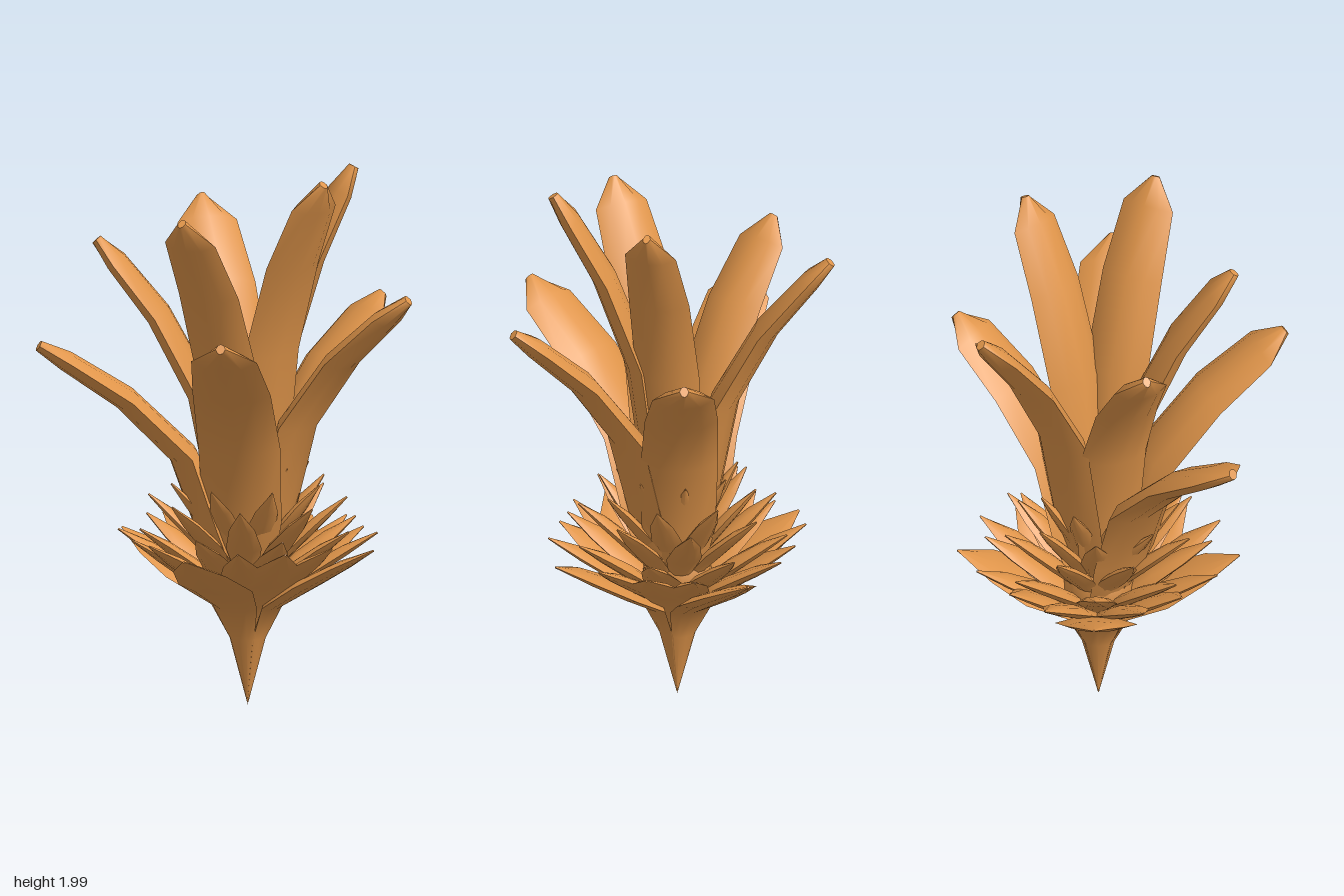
import * as THREE from 'three';

const material = new THREE.MeshStandardMaterial({ color: 0xe0954a, side: THREE.DoubleSide });
const AXIS_X = 0.1, AXIS_Z = -0.035;

// Leaf profiles: [share of reach, share of rise, share of width, share of thickness]
const LONG = [
  [0, 0, 0.1, 0.2], [0.05, 0.12, 0.55, 0.6], [0.19, 0.36, 0.95, 0.9], [0.31, 0.61, 1, 1],
  [0.59, 0.81, 0.95, 0.9], [0.87, 0.945, 0.8, 0.75], [1, 1, 0.12, 0.4],
];
const SHORT = [
  [0, 0, 0.02, 0.1], [0.09, 0.4, 0.33, 0.7], [0.2, 0.61, 0.6, 0.9],
  [0.5, 0.77, 1, 1], [0.75, 0.89, 0.72, 0.8], [1, 1, 0.03, 0.15],
];

// Lens-shaped cross-section; the two side edges are doubled to stay sharp
const LENS = [[1, 0], [0.55, 0.8], [0, 1], [-0.55, 0.8], [-1, 0],
  [-1, 0], [-0.55, -0.8], [0, -1], [0.55, -0.8], [1, 0]];

// A leaf lofted along a bending path that runs outwards at the given angle
function leaf(name, profile, angle, reach, baseY, tipY, halfWidth, halfThick) {
  const out = new THREE.Vector3(Math.cos(angle), 0, Math.sin(angle));
  const path = profile.map(([r, y]) =>
    out.clone().multiplyScalar(r * reach).setY(baseY + y * (tipY - baseY)));
  const positions = [], index = [], count = LENS.length, last = path.length - 1;
  path.forEach((p, i) => {
    const t = path[Math.min(i + 1, last)].clone().sub(path[Math.max(i - 1, 0)]).normalize();
    const tr = t.dot(out);
    const n = out.clone().multiplyScalar(-t.y).setY(tr);
    const s = n.clone().cross(t);
    for (const [a, b] of LENS) {
      const v = p.clone()
        .addScaledVector(s, a * halfWidth * profile[i][2])
        .addScaledVector(n, b * halfThick * profile[i][3]);
      positions.push(v.x, v.y, v.z);
    }
    if (i === last) return;
    for (let j = 0; j < count - 1; j++) {
      if (j === 4) continue;
      const a = i * count + j, d = a + count;
      index.push(a, a + 1, d + 1, a, d + 1, d);
    }
  });
  // Blunt tip cap with its own vertices
  const start = positions.length / 3;
  positions.push(...positions.slice(last * count * 3, (last + 1) * count * 3));
  for (let j = 1; j < count - 2; j++) index.push(start, start + j, start + j + 1);

  const geometry = new THREE.BufferGeometry();
  geometry.setAttribute('position', new THREE.Float32BufferAttribute(positions, 3));
  geometry.setIndex(index);
  geometry.computeVertexNormals();
  const mesh = new THREE.Mesh(geometry, material);
  mesh.name = name;
  return mesh;
}

export function createModel() {
  const model = new THREE.Group();
  model.name = 'leafCrown';
  const plant = new THREE.Group();
  plant.name = 'plant';
  plant.position.set(AXIS_X, 0, AXIS_Z);
  model.add(plant);

  // Long leaves: tip x, y, z and half width
  const tall = new THREE.Group();
  tall.name = 'longLeaves';
  const tips = [
    [0.11, 1.77, -0.61, 0.14], [0.67, 1.45, -0.21, 0.14], [0.5, 1.96, -0.025, 0.12],
    [0.55, 1.55, 0.46, 0.14], [0.25, 1.98, 0.39, 0.125], [-0.21, 1.44, 0.6, 0.15],
    [-0.26, 1.85, 0.3, 0.13], [-0.4, 1.7, -0.265, 0.125], [-0.675, 1.355, -0.095, 0.145],
  ];
  for (const [x, y, z, w] of tips) {
    const dx = x - AXIS_X, dz = z - AXIS_Z;
    tall.add(leaf('longLeaf', LONG, Math.atan2(dz, dx), Math.hypot(dx, dz), 0.28, y, w, 0.05));
  }
  plant.add(tall);

  // Short leaves in rings: count, turn in degrees, reach, base, tip height, half width
  const short = new THREE.Group();
  short.name = 'shortLeaves';
  const rings = [
    [4, 45, 0.51, 0.01, 0.61, 0.15], [4, 0, 0.44, 0.01, 0.63, 0.12],
    [8, 22.5, 0.47, 0.03, 0.64, 0.085], [8, 0, 0.41, 0.05, 0.67, 0.075],
    [8, 22.5, 0.36, 0.07, 0.77, 0.065], [8, 0, 0.29, 0.09, 0.83, 0.06],
    [8, 22.5, 0.22, 0.12, 0.9, 0.055], [6, 15, 0.15, 0.15, 0.96, 0.05],
  ];
  for (const [n, turn, reach, base, tip, w] of rings) {
    for (let i = 0; i < n; i++) {
      const angle = THREE.MathUtils.degToRad(turn) + (i / n) * Math.PI * 2;
      short.add(leaf('shortLeaf', SHORT, angle, reach, base, tip, w, 0.024));
    }
  }
  plant.add(short);

  // Pointed stem core
  const profile = [[0, 0], [0.04, 0.22], [0.075, 0.36], [0.13, 0.47], [0.1, 0.6], [0, 0.72]]
    .map(([r, y]) => new THREE.Vector2(r, y));
  const stem = new THREE.Mesh(new THREE.LatheGeometry(profile, 16), material);
  stem.name = 'stemCore';
  plant.add(stem);

  return model;
}
